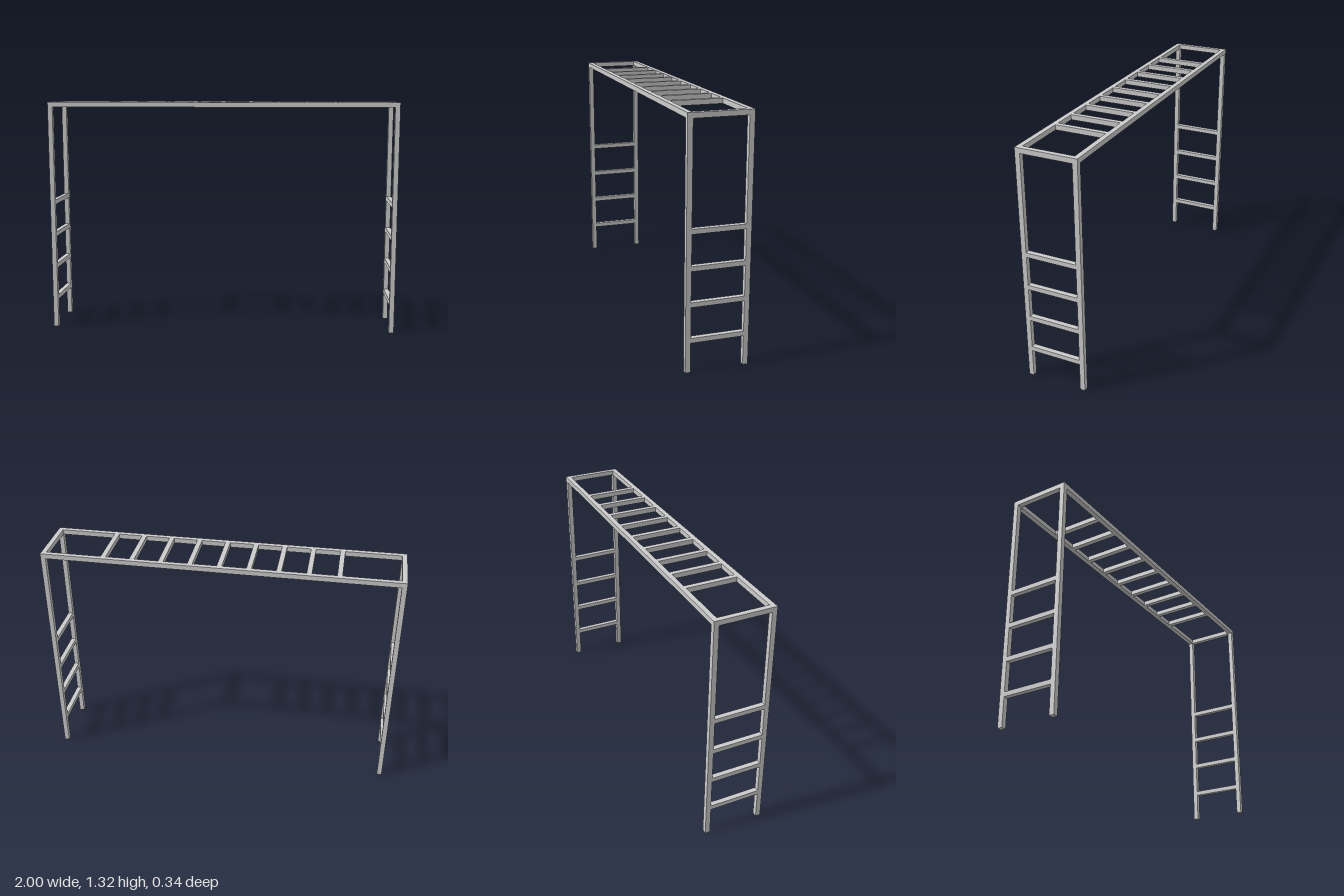
import * as THREE from 'three';

const T = 0.028;        // bar thickness
const H = 1.323;        // overall height
const X = 1 - T / 2;    // centre of the end frames
const Z = 0.17 - T / 2; // centre of the side frames
const GAP = 2 * Z - T;  // clear width between the sides

export function createModel() {
  const model = new THREE.Group();
  model.name = 'monkeyBars';
  const material = new THREE.MeshStandardMaterial({ color: 0xcccccc, flatShading: true });

  const bar = (name, size, position) => {
    const mesh = new THREE.Mesh(new THREE.BoxGeometry(...size), material);
    mesh.name = name;
    mesh.position.set(...position);
    model.add(mesh);
  };

  const topY = H - T / 2;

  // Long overhead rails
  for (const [side, sz] of [['front', 1], ['back', -1]]) {
    bar(`${side}Rail`, [2, T, T], [0, topY, sz * Z]);
  }

  // End ladders: posts, top crossbar and climbing rungs
  for (const [end, sx] of [['left', 1], ['right', -1]]) {
    for (const [side, sz] of [['Front', 1], ['Back', -1]]) {
      bar(`${end}${side}Post`, [T, H - T, T], [sx * X, (H - T) / 2, sz * Z]);
    }
    bar(`${end}TopCrossbar`, [T, T, GAP], [sx * X, topY, 0]);
    [0.173, 0.364, 0.553, 0.743].forEach((y, i) => {
      bar(`${end}LadderRung${i + 1}`, [T, 0.026, GAP], [sx * X, y, 0]);
    });
  }

  // Overhead hand rungs
  for (let i = -4; i <= 4; i++) {
    bar(`overheadRung${i + 5}`, [T, T, GAP], [i * 0.1618, topY, 0]);
  }

  return model;
}
